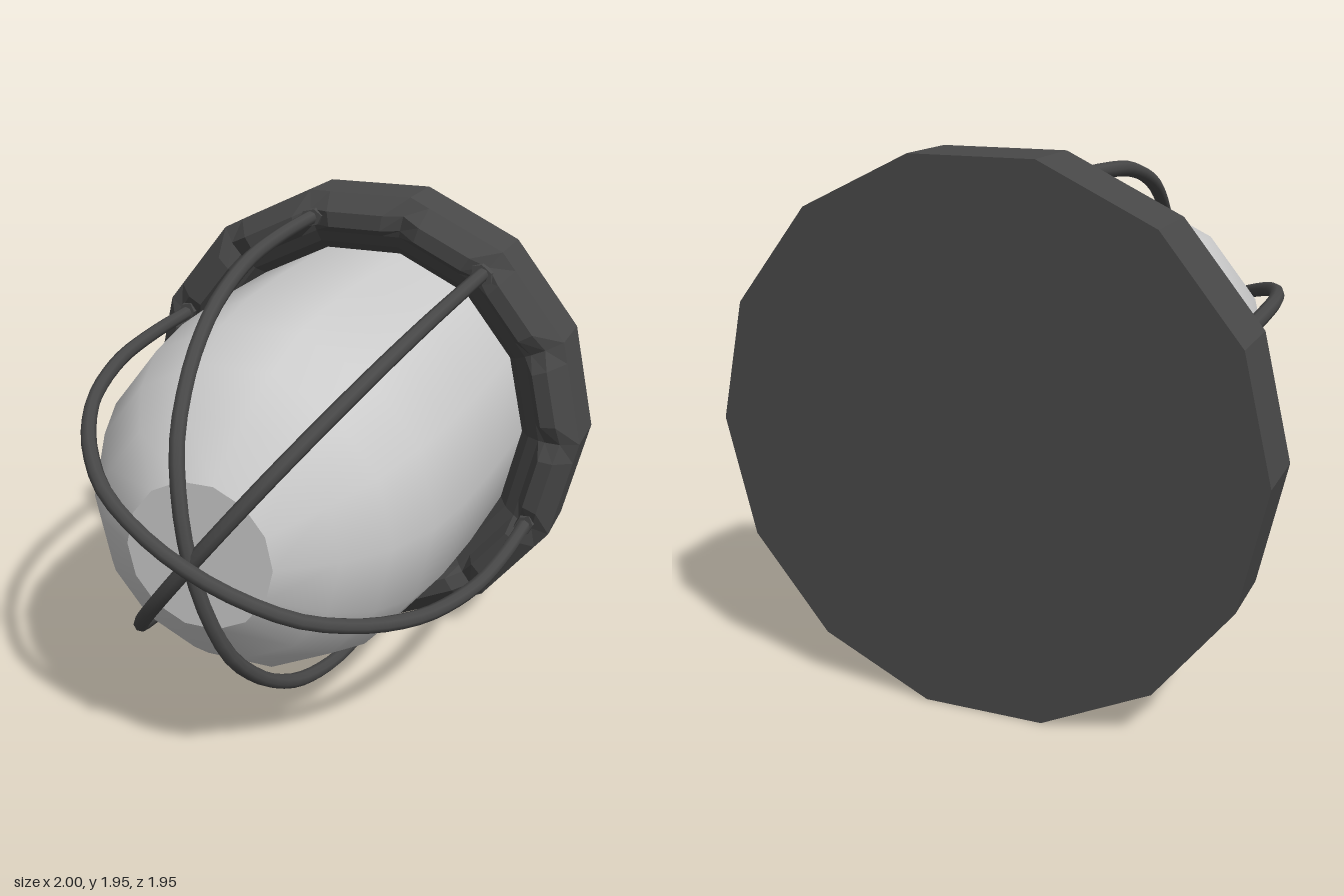
import * as THREE from 'three';

const SIDES = 14, STEP = (Math.PI * 2) / SIDES, CENTER_Y = 0.975;
const dark = new THREE.MeshStandardMaterial({ color: 0x484848, flatShading: true });
const darkSmooth = new THREE.MeshStandardMaterial({ color: 0x484848 });
const grey = new THREE.MeshStandardMaterial({ color: 0xcccccc, side: THREE.DoubleSide });

// Fourteen-sided housing: rings of [radius, z, dip at the corners]
function housingGeometry() {
  const rings = [
    [0, -0.98, 0], [1, -0.98, 0], [1, -0.72, 0], [0.925, -0.655, 0.03],
    [0.86, -0.655, 0.035], [0.83, -0.7, 0], [0.78, -0.73, 0], [0.73, -0.8, 0],
  ];
  const notch = 0.09, cols = SIDES * 3;
  const pos = [], index = [];
  for (const [r, z, dip] of rings) {
    for (let k = 0; k < cols; k++) {
      const off = ((k % 3) - 1) * notch;
      const a = Math.floor(k / 3) * STEP + off;
      // keep the in-between columns on the straight side of the polygon
      const rr = r * Math.cos(STEP / 2) / Math.cos(STEP / 2 - Math.abs(off));
      pos.push(rr * Math.cos(a), rr * Math.sin(a), off === 0 ? z - dip : z);
    }
  }
  for (let i = 0; i < rings.length - 1; i++) {
    for (let k = 0; k < cols; k++) {
      const n = (k + 1) % cols;
      const a = i * cols + k, b = i * cols + n, c = b + cols, d = a + cols;
      if (i > 0) index.push(a, b, c);
      index.push(a, c, d);
    }
  }
  const geo = new THREE.BufferGeometry();
  geo.setAttribute('position', new THREE.Float32BufferAttribute(pos, 3));
  geo.setIndex(index);
  const flat = geo.toNonIndexed();
  flat.computeVertexNormals();
  return flat;
}

// Bent wire running over the dome from one corner to the opposite one
function wireGeometry(angle, apex) {
  const half = [[0.89, -0.72], [0.89, -0.6], [0.88, -0.3], [0.85, 0], [0.77, 0.3],
    [0.69, 0.47], [0.58, 0.63], [0.41, 0.79], [0.2, 0.875]];
  const at = (r, z) => new THREE.Vector3(r * Math.cos(angle), r * Math.sin(angle), z);
  const lift = (z) => (z > 0 ? z * apex / 0.9 : z);
  const pts = [
    ...half.map(([r, z]) => at(r, lift(z))),
    at(0, apex),
    ...half.slice().reverse().map(([r, z]) => at(-r, lift(z))),
  ];
  return new THREE.TubeGeometry(new THREE.CatmullRomCurve3(pts), 48, 0.029, 8, false);
}

export function createModel() {
  const model = new THREE.Group();
  const lamp = new THREE.Group();
  lamp.name = 'bulkheadLamp';
  lamp.position.y = CENTER_Y;
  model.add(lamp);
  const add = (name, geo, mat, parent = lamp) => {
    const mesh = new THREE.Mesh(geo, mat);
    mesh.name = name;
    parent.add(mesh);
    return mesh;
  };

  add('housing', housingGeometry(), dark);

  // Glass dome with a flat tip
  const profile = [[0.74, -0.82], [0.738, -0.3], [0.722, 0.05], [0.685, 0.3],
    [0.6, 0.52], [0.47, 0.69], [0.28, 0.835]].map(([r, z]) => new THREE.Vector2(r, z));
  const dome = new THREE.LatheGeometry(profile, SIDES, Math.PI / 2);
  dome.rotateX(Math.PI / 2);
  add('glassDome', dome, grey);
  add('glassTip', new THREE.CircleGeometry(0.28, SIDES), grey).position.z = 0.835;

  // Wire cage and the sockets that hold its ends
  const cage = new THREE.Group();
  cage.name = 'cage';
  lamp.add(cage);
  [[2, 0.895], [4, 0.9], [6, 0.938]].forEach(([corner, apex]) => {
    const angle = corner * STEP;
    add('cageWire', wireGeometry(angle, apex), darkSmooth, cage);
    for (const a of [angle, angle + Math.PI]) {
      const socket = new THREE.CylinderGeometry(0.05, 0.062, 0.05, 6);
      socket.rotateX(Math.PI / 2);
      socket.scale(0.75, 1.05, 1);
      socket.rotateZ(a);
      add('wireSocket', socket, dark, cage)
        .position.set(0.89 * Math.cos(a), 0.89 * Math.sin(a), -0.685);
    }
  });
  return model;
}
